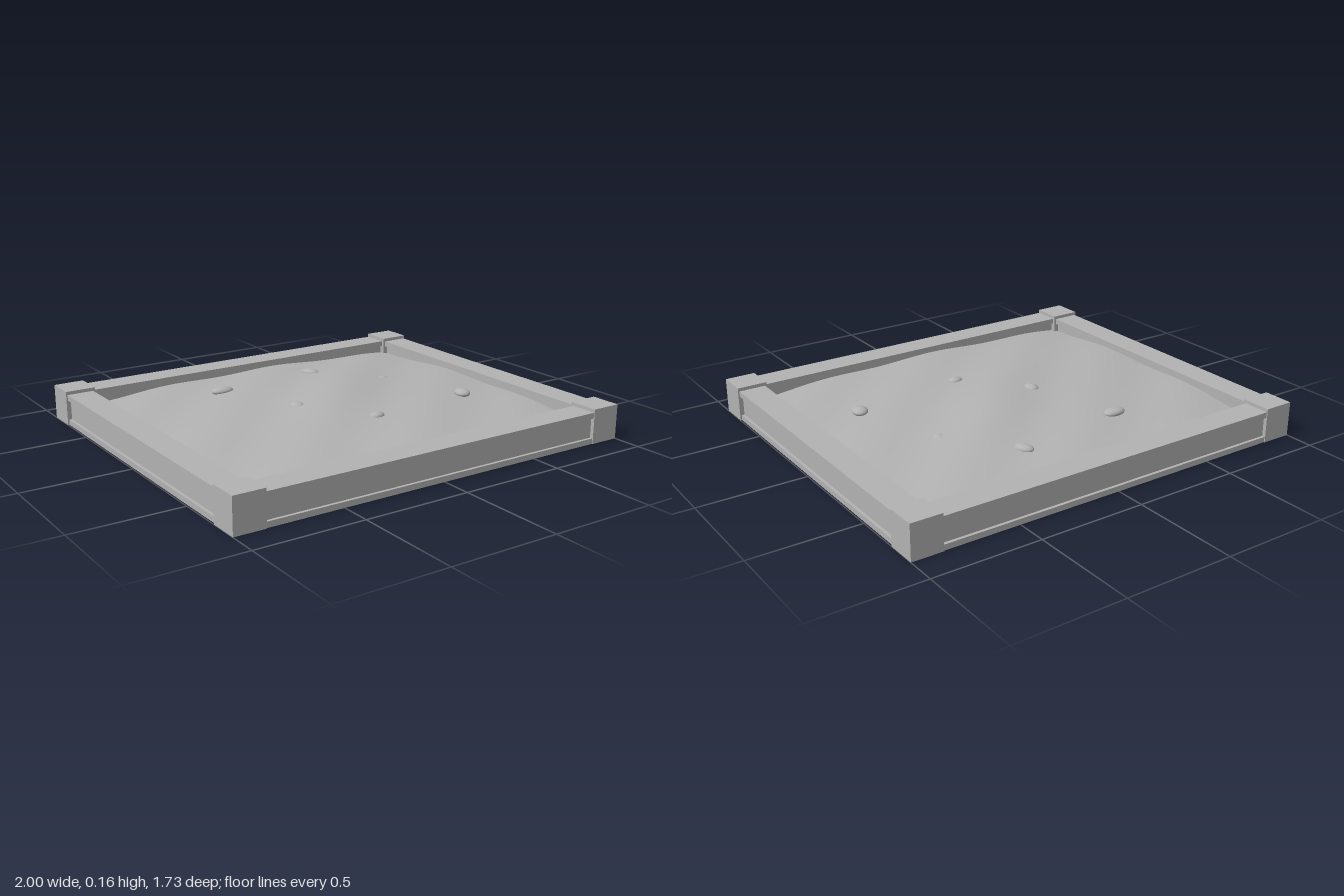
import * as THREE from 'three';

export function createModel() {
  const model = new THREE.Group();
  const grey = new THREE.MeshStandardMaterial({ color: 0xb2b2b2 });
  grey.name = 'plain grey';
  const greySheet = grey.clone();
  greySheet.side = THREE.DoubleSide;

  const X = 1, Z = 0.863, POST = 0.145, POST_HEIGHT = 0.163;

  function add(parent, name, geometry, x, y, z, material = grey) {
    const mesh = new THREE.Mesh(geometry, material);
    mesh.name = name;
    mesh.position.set(x, y, z);
    parent.add(mesh);
    return mesh;
  }

  // Square corner posts
  for (const sx of [-1, 1]) for (const sz of [-1, 1]) {
    add(model, 'cornerPost', new THREE.BoxGeometry(POST, POST_HEIGHT, POST),
      sx * (X - POST / 2), POST_HEIGHT / 2, sz * (Z - POST / 2));
  }

  // Rails with a projecting cap and foot around a recessed web
  const profile = new THREE.Shape([
    [-0.064, 0], [0.064, 0], [0.064, 0.026], [0.05, 0.026], [0.05, 0.12], [0.064, 0.12],
    [0.064, 0.147], [-0.064, 0.147], [-0.064, 0.12], [-0.05, 0.12], [-0.05, 0.026], [-0.064, 0.026],
  ].map(([x, y]) => new THREE.Vector2(x, y)));
  function rail(name, length, x, z, turn) {
    const geometry = new THREE.ExtrudeGeometry(profile, { depth: length, bevelEnabled: false });
    geometry.translate(0, 0, -length / 2);
    add(model, name, geometry, x, 0, z).rotation.y = turn;
  }
  for (const s of [-1, 1]) {
    rail(s > 0 ? 'frontRail' : 'backRail', 2 * (X - POST), 0, s * (Z - 0.068), Math.PI / 2);
    rail(s > 0 ? 'leftRail' : 'rightRail', 2 * (Z - POST), s * (X - 0.071), 0, 0);
  }

  // Gently domed ground with faint ripples and a low diagonal ridge near the middle
  const groundHeight = (x, z) => {
    const dome = 1 - 0.5 * (x / 0.88) ** 2 - 0.5 * (z / 0.75) ** 2;
    const across = (x + z) / 0.27, along = ((x - z) / 2 - 0.1) / 0.3;
    return 0.074 + 0.064 * dome
      + 0.02 * Math.exp(-across * across - along * along)
      + 0.005 * Math.cos(10 * (x + z) - 0.4);
  };
  const ground = new THREE.PlaneGeometry(1.758, 1.492, 56, 48).rotateX(-Math.PI / 2);
  const p = ground.attributes.position;
  for (let i = 0; i < p.count; i++) p.setY(i, groundHeight(p.getX(i), p.getZ(i)));
  ground.computeVertexNormals();
  add(model, 'ground', ground, 0, 0, 0, greySheet);

  // Flat pebbles half sunk in the ground: x, z, half length, half width, turn, lift
  const pebbles = [
    [-0.323, -0.432, 0.056, 0.033, 0, 0.006],
    [0.227, -0.5, 0.046, 0.03, -1.15, 0],
    [0.46, -0.2, 0.042, 0.036, 0.5, -0.016],
    [-0.172, 0, 0.04, 0.033, 1.57, -0.006],
    [0.063, 0.3, 0.038, 0.029, 0.15, -0.002],
    [0.617, 0.235, 0.046, 0.037, 1.25, 0.01],
  ];
  for (const [x, z, a, b, turn, lift] of pebbles) {
    const pebble = add(model, 'pebble', new THREE.SphereGeometry(1, 20, 14), x, groundHeight(x, z) + lift, z);
    pebble.scale.set(a, 0.019, b);
    pebble.rotation.y = turn;
  }
  return model;
}
